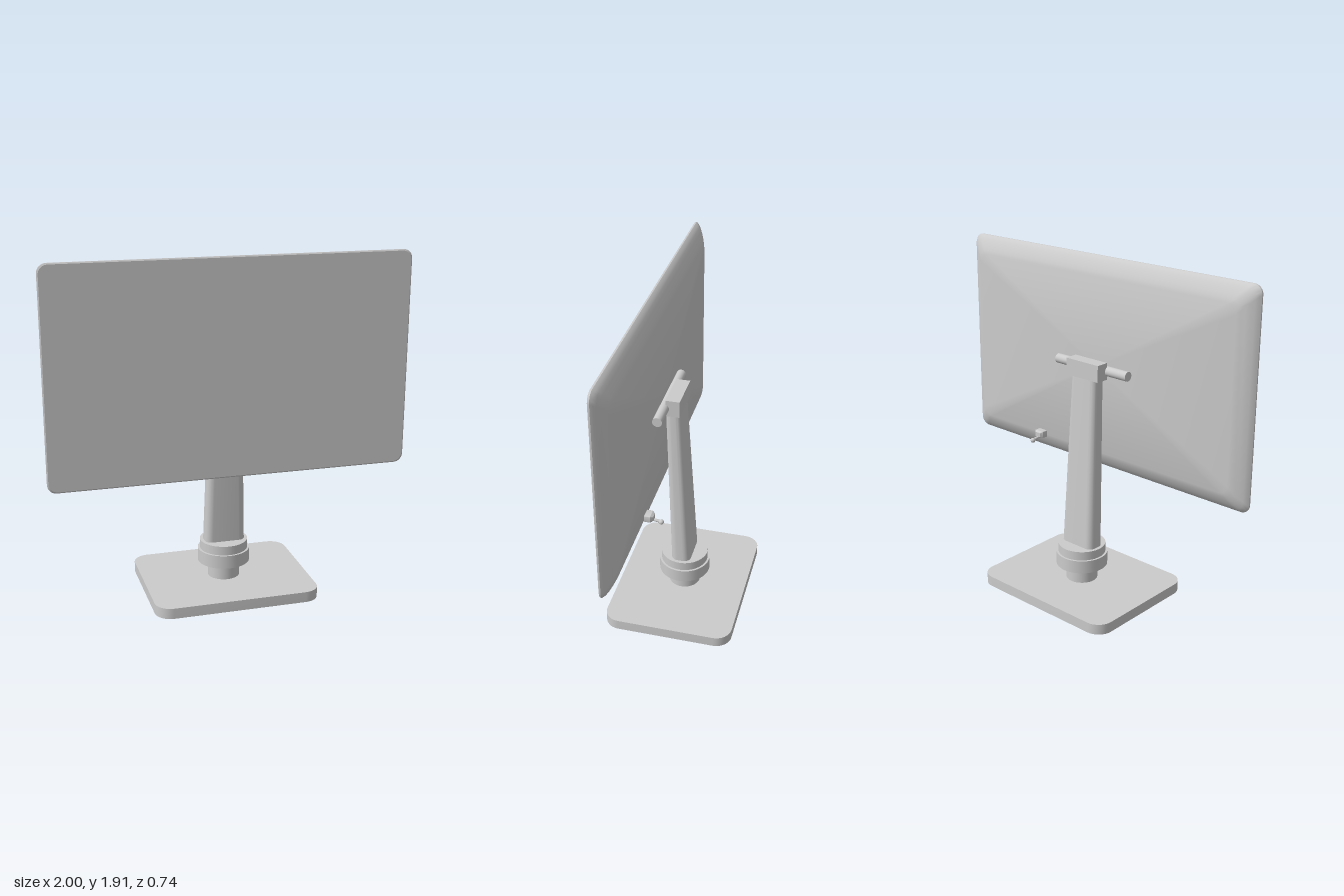
import * as THREE from 'three';
import { toCreasedNormals } from 'three/addons/utils/BufferGeometryUtils.js';

const material = new THREE.MeshStandardMaterial({ color: 0xcccccc });

// Counter-clockwise rounded rectangle, as [x, y] points
function roundedRect(halfW, halfH, r, cy = 0, steps = 8) {
  const points = [];
  for (let corner = 0; corner < 4; corner++) {
    const sx = corner === 0 || corner === 3 ? 1 : -1;
    const sy = corner < 2 ? 1 : -1;
    for (let i = 0; i <= steps; i++) {
      const a = (corner + i / steps) * Math.PI / 2;
      points.push([sx * (halfW - r) + r * Math.cos(a), cy + sy * (halfH - r) + r * Math.sin(a)]);
    }
  }
  return points;
}

// Capped solid through rounded-rectangle sections, ordered along +z
function loft(sections) {
  const rings = sections.map(s => roundedRect(s.w, s.h, s.r, s.cy));
  const n = rings[0].length;
  const positions = [];
  const index = [];
  rings.forEach((ring, k) => ring.forEach(([x, y]) => positions.push(x, y, sections[k].z)));
  for (let k = 0; k < rings.length - 1; k++) {
    for (let i = 0; i < n; i++) {
      const a = k * n + i, b = k * n + (i + 1) % n;
      index.push(a, b, b + n, a, b + n, a + n);
    }
  }
  const last = sections.length - 1;
  const start = positions.length / 3;
  positions.push(0, sections[0].cy || 0, sections[0].z, 0, sections[last].cy || 0, sections[last].z);
  for (let i = 0; i < n; i++) {
    const j = (i + 1) % n;
    index.push(start, j, i, start + 1, last * n + i, last * n + j);
  }
  const geometry = new THREE.BufferGeometry();
  geometry.setAttribute('position', new THREE.Float32BufferAttribute(positions, 3));
  geometry.setIndex(index);
  return geometry;
}

export function createModel() {
  const model = new THREE.Group();
  model.name = 'monitor';

  function add(name, geometry, x = 0, y = 0, z = 0, parent = model) {
    const mesh = new THREE.Mesh(geometry, material);
    mesh.name = name;
    mesh.position.set(x, y, z);
    parent.add(mesh);
    return mesh;
  }
  const crease = geometry => toCreasedNormals(geometry, 0.4);

  // Screen: flat front, back edges curving in to a flat panel
  const profile = [
    [0.1, 0.111], [0.08, 0.118], [0.06, 0.127], [0.04, 0.138],
    [0.022, 0.15], [0.009, 0.161], [0, 0.174], [0, 0.182], [0.007, 0.187],
  ];
  add('screen', crease(loft(profile.map(([inset, z]) =>
    ({ w: 1 - inset, h: 0.6 - inset, r: 0.05, z })))), 0, 1.31, 0);

  // Base plate
  const base = loft([0, 0.06].map(z => ({ w: 0.465, h: 0.368, r: 0.09, z })));
  add('base', crease(base.rotateX(-Math.PI / 2)));

  // Swivel: neck, wide collar, upper ring
  const swivel = [
    ['neck', 0.09, 0.06, 0.155],
    ['collar', 0.147, 0.152, 0.228],
    ['upperRing', 0.135, 0.228, 0.28],
  ];
  for (const [name, r, y0, y1] of swivel) {
    add(name, new THREE.CylinderGeometry(r, r, y1 - y0, 48), 0, (y0 + y1) / 2, 0);
  }

  // Arm: tapering and leaning towards the screen
  const arm = loft([
    { w: 0.115, h: 0.056, r: 0.04, cy: 0, z: 0.27 },
    { w: 0.088, h: 0.044, r: 0.032, cy: -0.045, z: 1.28 },
  ]);
  add('arm', crease(arm.rotateX(-Math.PI / 2)));

  // Hinge: block on top of the arm and a cross rod behind the screen
  add('hingeBlock', new THREE.BoxGeometry(0.23, 0.095, 0.076), 0, 1.314, 0.037);
  add('hingeRod', new THREE.CylinderGeometry(0.027, 0.027, 0.51, 32).rotateZ(Math.PI / 2), 0, 1.312, 0.084);

  // Control stick on the back of the screen
  const control = new THREE.Group();
  control.name = 'controlStick';
  control.position.set(0.41, 0, 0);
  model.add(control);
  const mount = loft([
    { w: 0.018, h: 0.013, r: 0.004, z: 0.064 },
    { w: 0.03, h: 0.02, r: 0.004, z: 0.078 },
    { w: 0.03, h: 0.02, r: 0.004, z: 0.113 },
  ]);
  add('stickMount', crease(mount), 0, 0.815, 0, control);
  const stick = new THREE.CylinderGeometry(0.008, 0.008, 0.06, 16).rotateX(Math.PI / 2);
  add('stick', stick, 0, 0.796, 0.055, control).rotation.x = -0.15;
  add('stickTip', new THREE.SphereGeometry(0.014, 20, 14), 0, 0.79, 0.025, control);

  return model;
}
